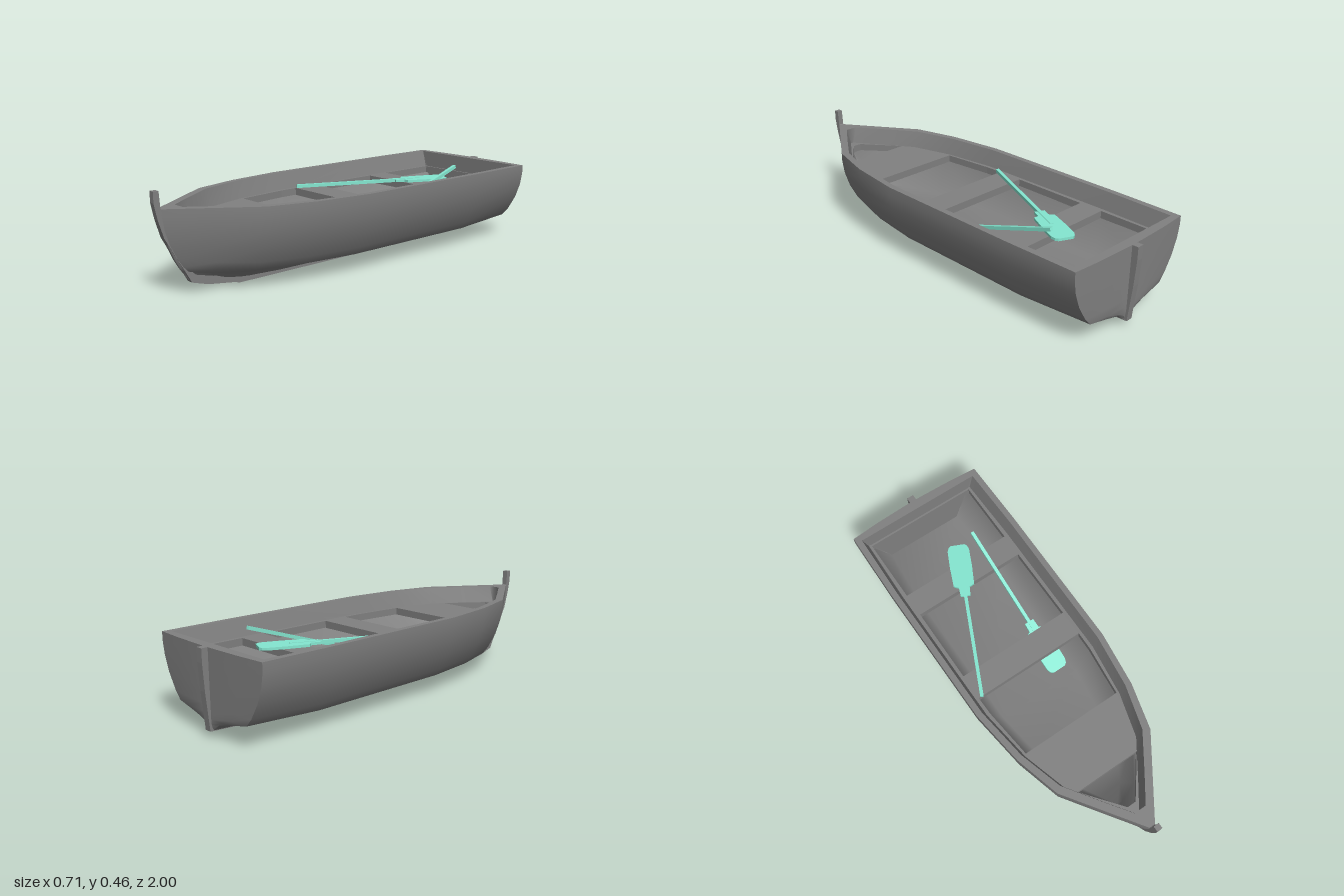
import * as THREE from 'three';
import { toCreasedNormals } from 'three/addons/utils/BufferGeometryUtils.js';

const grey = new THREE.MeshStandardMaterial({ color: 0x808080, side: THREE.DoubleSide });
const teal = new THREE.MeshStandardMaterial({ color: 0x84e6d0 });

const RIM = 0.382;
// Midship half section, keel to rim: [x, y]
const PROFILE = [[0.018, 0.012], [0.05, 0.04], [0.14, 0.063], [0.25, 0.087], [0.28, 0.125],
  [0.32, 0.2], [0.345, 0.275], [0.355, 0.34], [0.355, RIM]];
// Outer stations, stern to bow: [z at rim, z at keel, half width at rim, at chine, lift of the bottom]
const OUTER = [
  [-0.955, -0.955, 0.35, 0.235, 0.02],
  [-0.6, -0.6, 0.355, 0.25, 0],
  [0.13, 0.13, 0.35, 0.245, 0],
  [0.4, 0.39, 0.315, 0.21, 0],
  [0.62, 0.59, 0.255, 0.155, 0.005],
  [0.8, 0.725, 0.13, 0.075, 0.02],
  [0.97, 0.835, 0.012, 0.008, 0.045],
  [0.97, 0.835, 0, 0, 0.045],
];
// Inner stations: [z, half width at rim, half width of floor]
const INNER = [
  [-0.925, 0.32, 0.2], [-0.6, 0.327, 0.22], [0.13, 0.322, 0.215], [0.39, 0.287, 0.18],
  [0.6, 0.225, 0.12], [0.76, 0.115, 0.06], [0.88, 0.03, 0.015], [0.88, 0, 0],
];

function outerHalf([zTop, zLow, w, c, lift]) {
  return PROFILE.map(([px, py]) => {
    const x = px <= 0.25 ? c * px / 0.25 : c + (w - c) * (px - 0.25) / 0.105;
    const t = py / RIM;
    return [x, py + lift * (1 - t), zLow + (zTop - zLow) * (1 - (1 - t) ** 2)];
  });
}

const wallHalf = ([z, w]) => [[Math.max(0, w - 0.025), 0.29, z], [w, RIM, z]];

// Floor and sloping sides below the ledges, pulled back under the bow
function linerHalf([z, w, floor]) {
  const low = z - Math.max(0, z - 0.6) * 0.35;
  return [[floor, 0.1, low], [Math.max(0, w - 0.04), 0.266, z], [Math.max(0, w - 0.01), 0.266, z]];
}

const mirrorX = ([x, y, z]) => [-x, y, z];
const fullSection = (half) => [...half.map(mirrorX).reverse(), ...half];

// Skin over rows of points with equal counts
function loft(rows) {
  const n = rows[0].length;
  const index = [];
  for (let i = 0; i < rows.length - 1; i++) {
    for (let j = 0; j < n - 1; j++) {
      const a = i * n + j, b = a + 1, c = a + n, d = c + 1;
      index.push(a, b, c, b, d, c);
    }
  }
  const geo = new THREE.BufferGeometry();
  geo.setAttribute('position', new THREE.Float32BufferAttribute(rows.flat(2), 3));
  geo.setIndex(index);
  geo.computeVertexNormals();
  return geo;
}

const toShape = (pts) => new THREE.Shape(pts.map(([x, y]) => new THREE.Vector2(x, y)));
const extrude = (shape, depth) => new THREE.ExtrudeGeometry(shape, { depth, bevelEnabled: false });
const symmetric = (half) => [...half, ...half.map(([x, y]) => [-x, y]).reverse()];

function add(parent, name, geo, mat = grey) {
  const mesh = new THREE.Mesh(geo, mat);
  mesh.name = name;
  parent.add(mesh);
}

// Vertical plate across x = 0 from a side outline of [z, y] points
function sidePlate(outline, width) {
  const geo = extrude(toShape(outline), width);
  geo.translate(0, 0, -width / 2);
  geo.rotateY(-Math.PI / 2);
  return geo;
}

// Flat plate from an [x, z] outline, its top at the given height
function flatPlate(shape, thickness, top) {
  const geo = extrude(shape, thickness);
  geo.rotateX(Math.PI / 2);
  geo.translate(0, top, 0);
  return geo;
}

function createOar(name, from, to) {
  const oar = new THREE.Group();
  oar.name = name;
  const shaft = new THREE.BoxGeometry(0.016, 0.016, 0.65);
  shaft.translate(0, 0, 0.325);
  add(oar, 'oarShaft', shaft, teal);
  const blade = toShape(symmetric([[0.024, 0.515], [0.026, 0.56], [0.05, 0.572], [0.054, 0.67],
    [0.053, 0.76], [0.046, 0.78], [0.034, 0.79]]));
  add(oar, 'oarBlade', flatPlate(blade, 0.012, 0.006), teal);
  oar.position.set(...from);
  oar.lookAt(...to);
  return oar;
}

export function createModel() {
  const boat = new THREE.Group();
  boat.name = 'rowingBoat';

  // Hull skins
  const outer = OUTER.map(outerHalf);
  add(boat, 'outerHull', loft(outer.map(fullSection)));
  add(boat, 'floorAndSides', loft(INNER.map((s) => fullSection(linerHalf(s)))));
  for (const [name, side] of [['left', (p) => p], ['right', mirrorX]]) {
    add(boat, name + 'InnerWall', loft(INNER.map((s) => wallHalf(s).map(side))));
    // Flat rim, closing into a solid point at the bow
    add(boat, name + 'Gunwale', loft(outer.map((row, i) => [row.at(-1), [INNER[i][1], RIM, INNER[i][0]]].map(side))));
  }

  // Transom: bowed outer face, flat top and flat inner face
  const columns = [-1, -0.6, -0.15, 0, 0.15, 0.6, 1];
  const transom = outer[0].map(([x, y, z]) => columns.map((f) => [f * x, y, z - 0.016 * (1 - f * f)]));
  const [sternZ, sternW, sternFloor] = INNER[0];
  transom.push(columns.map((f) => [f * sternW, RIM, sternZ]));
  transom.push(columns.map((f) => [f * sternFloor, 0.1, sternZ]));
  add(boat, 'transom', toCreasedNormals(loft(transom), 0.7));

  // Keel and stem in one piece, widening towards the bottom
  const keel = sidePlate([[-0.97, 0.03], [-0.5, 0.004], [-0.4, 0], [0.6, 0], [0.63, 0.008],
    [0.76, 0.026], [0.84, 0.05], [0.9, 0.155], [0.96, 0.26], [0.985, 0.34], [1, 0.41], [1, 0.458],
    [0.975, 0.458], [0.97, 0.385], [0.94, 0.36], [0.91, 0.27], [0.86, 0.17], [0.79, 0.085],
    [0.6, 0.06], [-0.95, 0.065]], 0.027);
  const pos = keel.attributes.position;
  for (let i = 0; i < pos.count; i++) {
    pos.setX(i, pos.getX(i) * (1 + 0.33 * Math.max(0, 1 - pos.getY(i) / 0.3)));
  }
  add(boat, 'keelAndStem', keel);
  add(boat, 'sternPost', sidePlate([[-0.95, 0.035], [-0.977, 0.03], [-0.993, 0.2], [-1, 0.32],
    [-1, RIM], [-0.95, RIM]], 0.034));

  // Side ledges, thwarts and foredeck cut from one plate
  const deck = toShape(symmetric([[0.315, -0.927], [0.318, -0.58], [0.316, 0.13], [0.28, 0.39],
    [0.22, 0.6], [0.105, 0.765], [0.025, 0.885]]));
  const wells = [
    [[0.285, -0.916], [0.285, -0.59]],
    [[0.285, -0.47], [0.285, -0.09]],
    [[0.285, 0.04], [0.283, 0.13], [0.255, 0.38]],
    [[0.165, 0.655], [0.022, 0.835]],
  ];
  for (const well of wells) deck.holes.push(toShape(symmetric(well)));
  add(boat, 'thwartsAndForedeck', flatPlate(deck, 0.035, 0.3));

  // Oars: one across the thwarts, one with its blade under the middle thwart
  boat.add(createOar('rightOar', [-0.27, 0.312, 0.045], [0.058, 0.314, -0.665]));
  boat.add(createOar('leftOar', [0.143, 0.383, -0.66], [0.143, 0.133, 0.089]));
  return boat;
}
